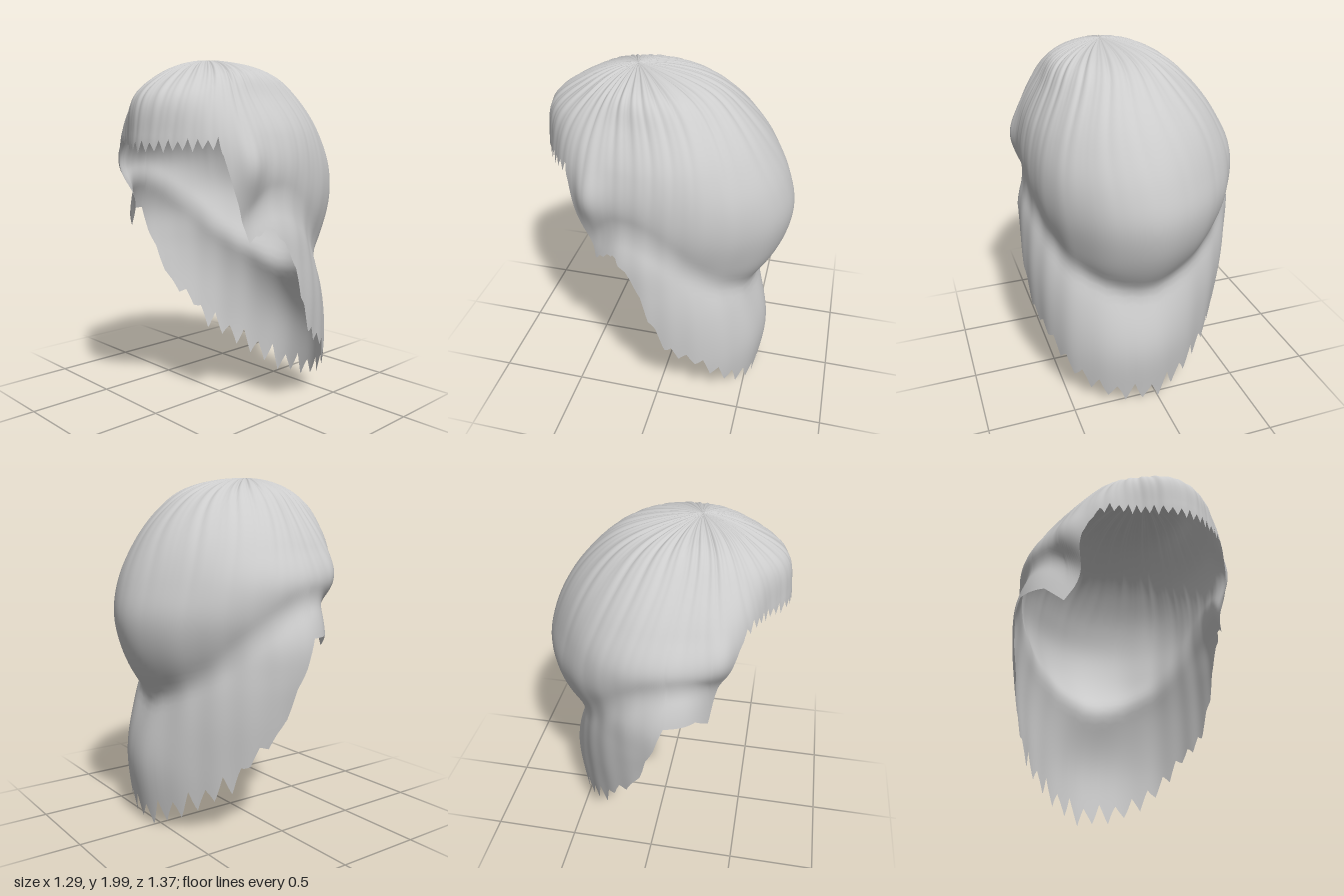
import * as THREE from 'three';

const CROWN = { x: 0.1, z: 0.18 };
const COLUMNS = 360, ROWS = 72;

const depth = (y) => Math.sqrt(2 - y);
const bell = (x, width) => Math.exp(-Math.pow(x / width, 2));

// Rings: [height, radius around the crown every 30 degrees, from the front towards the model's left]
const cap = makeRings([
  [2, 0, 0, 0, 0, 0, 0, 0, 0, 0, 0, 0, 0],
  [1.93, 0.27, 0.26, 0.26, 0.27, 0.31, 0.36, 0.39, 0.36, 0.32, 0.28, 0.27, 0.26],
  [1.8, 0.455, 0.43, 0.39, 0.36, 0.425, 0.52, 0.575, 0.55, 0.50, 0.42, 0.41, 0.41],
  [1.6, 0.50, 0.48, 0.48, 0.47, 0.54, 0.655, 0.735, 0.71, 0.66, 0.57, 0.52, 0.45],
  [1.4, 0.50, 0.49, 0.50, 0.50, 0.575, 0.725, 0.83, 0.79, 0.75, 0.66, 0.53, 0.45],
  [1.22, 0.49, 0.48, 0.49, 0.45, 0.56, 0.73, 0.865, 0.82, 0.735, 0.57, 0.46, 0.43],
  [1.05, 0.47, 0.46, 0.46, 0.36, 0.50, 0.69, 0.835, 0.785, 0.66, 0.48, 0.43, 0.42],
  [0.9, 0.4, 0.4, 0.4, 0.28, 0.42, 0.63, 0.77, 0.71, 0.57, 0.4, 0.4, 0.4],
  [0.7, 0.3, 0.3, 0.3, 0.2, 0.3, 0.49, 0.64, 0.56, 0.43, 0.3, 0.3, 0.3],
]);
const curtain = makeRings([
  [1.5, 0.2, 0.2, 0.2, 0.30, 0.32, 0.22, 0.2, 0.25, 0.43, 0.50, 0.25, 0.2],
  [1.3, 0.3, 0.3, 0.3, 0.45, 0.46, 0.36, 0.3, 0.42, 0.62, 0.65, 0.35, 0.3],
  [1.1, 0.4, 0.4, 0.42, 0.52, 0.55, 0.49, 0.44, 0.57, 0.73, 0.71, 0.38, 0.35],
  [0.9, 0.45, 0.45, 0.45, 0.53, 0.59, 0.61, 0.58, 0.68, 0.75, 0.70, 0.42, 0.4],
  [0.7, 0.45, 0.45, 0.45, 0.53, 0.605, 0.68, 0.685, 0.725, 0.74, 0.66, 0.45, 0.42],
  [0.4, 0.45, 0.45, 0.45, 0.52, 0.595, 0.715, 0.77, 0.73, 0.70, 0.62, 0.45, 0.42],
  [0, 0.45, 0.45, 0.45, 0.50, 0.56, 0.68, 0.73, 0.69, 0.65, 0.60, 0.45, 0.42],
]);
// Hem: [degrees, height, tooth size]
const HEM = [
  [0, 1.54, 0.035], [54, 1.56, 0.035], [57, 1.5, 0], [63, 1.33, 0], [74, 1.06, 0.01],
  [88, 1.13, 0.01], [100, 0.99, 0.02], [108, 0.76, 0.03], [117, 0.53, 0.03],
  [135, 0.4, 0.04], [148, 0.24, 0.06], [164, 0.12, 0.06], [186, 0.075, 0.08],
  [200, 0.14, 0.08], [214, 0.23, 0.07], [229, 0.34, 0.07], [238, 0.49, 0.03],
  [248, 0.6, 0.03], [254, 0.76, 0.03], [259, 0.94, 0.02], [264, 1.12, 0],
  [277, 1.12, 0], [284, 1.04, 0], [290, 1.22, 0], [297, 1.42, 0],
  [304, 1.55, 0.02], [310, 1.58, 0.035], [360, 1.54, 0.035],
];

// Radius of a ringed surface, smooth down the head and round it
function makeRings(rows) {
  const spline = new THREE.CubicInterpolant(
    rows.map((row) => depth(row[0])), rows.flatMap((row) => row.slice(1)), 12);
  return (u, deg) => {
    const v = spline.evaluate(u);
    const i = Math.floor(deg / 30), t = deg / 30 - i;
    const [a, b, c, d] = [i + 11, i, i + 1, i + 2].map((k) => v[k % 12]);
    return b + 0.5 * t * (c - a + t * (2 * a - 5 * b + 4 * c - d + t * (3 * (b - c) + d - a)));
  };
}

// The rounded cap meets the flaring curtain in a soft crease
function hairRadius(u, deg) {
  const a = cap(u, deg), b = curtain(u, deg), soft = 0.07;
  const h = Math.max(0, soft - Math.abs(a - b));
  // Side locks bulge at the temples
  const locks = (0.04 * bell(deg - 74, 9) + 0.035 * bell(deg - 289, 8)) * bell(2 - u * u - 1.45, 0.15);
  return (u < depth(1.5) ? a : Math.max(a, b) + (h * h) / (4 * soft)) + locks;
}

// Ragged lower edge: height and offset of the teeth
function hem(deg) {
  const k = HEM.findIndex((h, i) => deg < HEM[i + 1][0]);
  const [a, b] = [HEM[k], HEM[k + 1]];
  const t = (deg - a[0]) / (b[0] - a[0]);
  const period = deg > 90 && deg < 270 ? 8 : 6;
  const zigzag = Math.abs(((deg % period) / period) * 2 - 1) * 2 - 1;
  const uneven = 0.8 + 0.2 * Math.sin(deg * 0.37);
  return {
    height: THREE.MathUtils.lerp(a[1], b[1], t),
    tooth: zigzag * uneven * THREE.MathUtils.lerp(a[2], b[2], t),
  };
}

// Rounded strands divided by narrow valleys
function strands(angle, u) {
  const sway = 0.03 * Math.sin(9 * u + 3 * angle);
  const coarse = Math.abs(Math.sin(18 * (angle + sway) + 0.8 * Math.sin(5 * angle)));
  const fine = Math.abs(Math.sin(31 * (angle + sway) + Math.sin(3 * angle)));
  return 0.65 * coarse + 0.35 * fine - 0.8;
}

function hairGeometry() {
  const position = [], index = [];
  for (let j = 0; j <= ROWS; j++) {
    for (let i = 0; i < COLUMNS; i++) {
      const deg = (i * 360) / COLUMNS, angle = THREE.MathUtils.degToRad(deg);
      const { height, tooth } = hem(deg), s = 0.01 + 0.99 * (j / ROWS);
      const y = Math.max(0, 2 - s * s * (2 - height) + tooth * Math.pow(s, 12));
      const u = depth(y);
      // Strands are strongest just below the crown and fade out down the head
      const fade = Math.min(1, u / 0.22) * bell(u, 0.48);
      const ridge = 0.02 * strands(angle, u) * fade;
      const wave = 0.002 * Math.sin(22 * angle + 2 * Math.sin(3 * angle)) * Math.min(1, u * u);
      const r = hairRadius(u, deg) + ridge * Math.min(1, u * 1.4) + wave;
      position.push(CROWN.x + r * Math.sin(angle), y + ridge * 0.8, CROWN.z + r * Math.cos(angle));
      if (j < ROWS) {
        const n = (i + 1) % COLUMNS, a = j * COLUMNS + i, b = j * COLUMNS + n;
        index.push(a, a + COLUMNS, b, b, a + COLUMNS, b + COLUMNS);
      }
    }
  }
  // Close the crown
  const top = position.length / 3;
  position.push(CROWN.x, 2, CROWN.z);
  for (let i = 0; i < COLUMNS; i++) index.push(top, i, (i + 1) % COLUMNS);

  const geometry = new THREE.BufferGeometry();
  geometry.setAttribute('position', new THREE.Float32BufferAttribute(position, 3));
  geometry.setIndex(index);
  geometry.computeVertexNormals();
  return geometry;
}

export function createModel() {
  const material = new THREE.MeshStandardMaterial({ color: 0xcccccc, side: THREE.DoubleSide });
  material.name = 'light grey hair';
  const hair = new THREE.Mesh(hairGeometry(), material);
  hair.name = 'hair';
  const model = new THREE.Group();
  model.name = 'wig';
  model.add(hair);
  return model;
}
